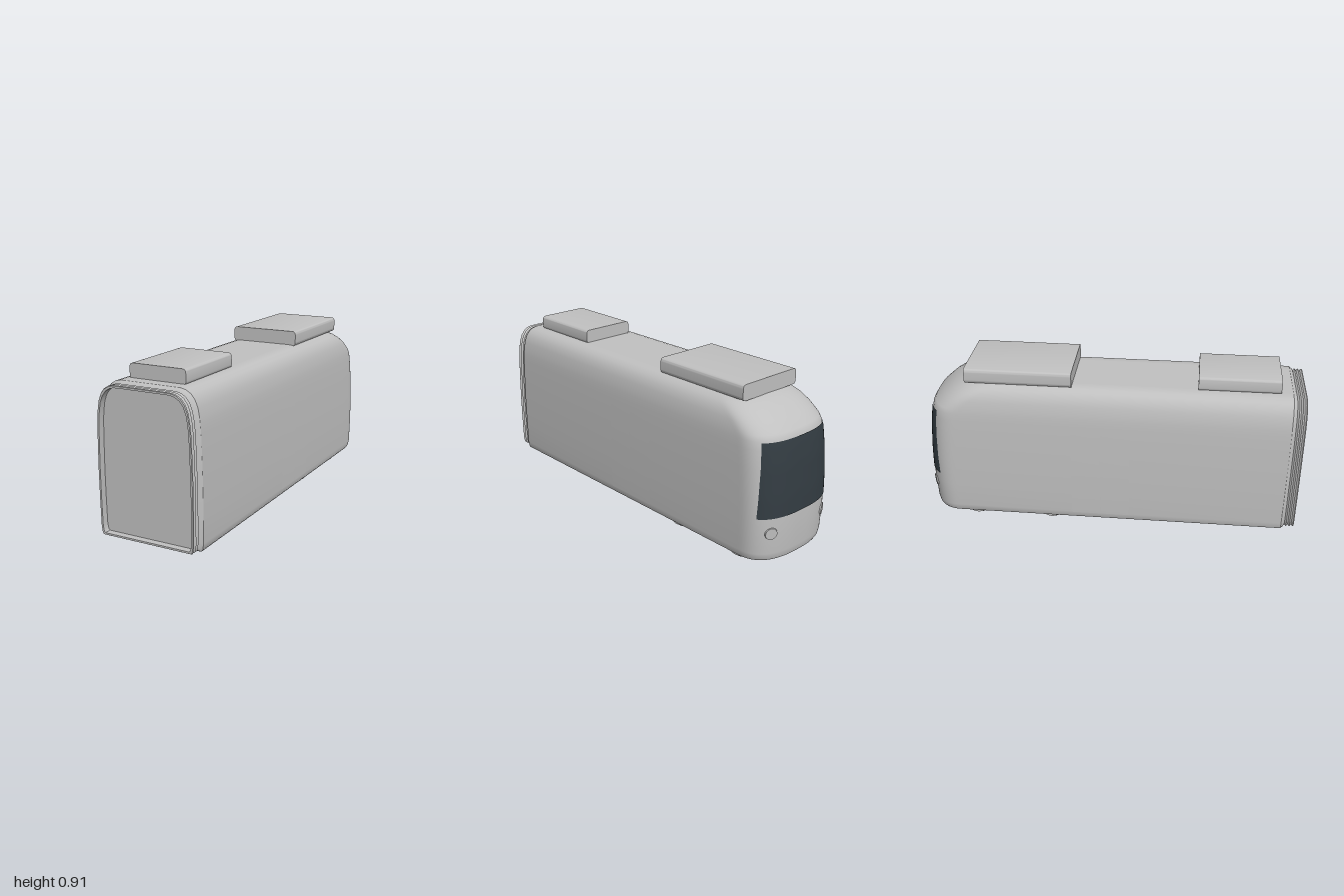
import * as THREE from 'three';
import { toCreasedNormals } from 'three/addons/utils/BufferGeometryUtils.js';

// Body profile: height, half width, z of the nose tip
const LEVELS = [
  [0.07, 0.255, -0.985], [0.08, 0.262, -0.99], [0.11, 0.267, -0.995], [0.25, 0.269, -1],
  [0.4, 0.269, -0.996], [0.55, 0.266, -0.985], [0.64, 0.263, -0.973], [0.68, 0.26, -0.965],
  [0.705, 0.257, -0.95], [0.75, 0.249, -0.9], [0.785, 0.235, -0.85], [0.81, 0.215, -0.805],
  [0.825, 0.19, -0.77], [0.831, 0.165, -0.745], [0.832, 0.14, -0.72],
];
const NOSE = 0.17, POWER = 0.77, BACK = 0.93;

function levelAt(y) {
  let i = 0;
  while (i < LEVELS.length - 2 && y > LEVELS[i + 1][0]) i++;
  const a = LEVELS[i], b = LEVELS[i + 1], k = (y - a[0]) / (b[0] - a[0]);
  return [a[1] + (b[1] - a[1]) * k, a[2] + (b[2] - a[2]) * k];
}

// Body surface: |t| below 1 runs round the nose, 1 to 2 runs back along the side
function surface(t, y) {
  const [hw, tip] = levelAt(y);
  const s = Math.sign(t), a = Math.min(Math.abs(t), 1) * Math.PI / 2;
  const x = s * hw * Math.pow(Math.sin(a), POWER);
  let z = tip + NOSE - NOSE * Math.pow(Math.max(0, Math.cos(a)), POWER);
  if (Math.abs(t) > 1) z += (BACK - z) * (Math.abs(t) - 1);
  return new THREE.Vector3(x, y, z);
}

function normalAt(t, y) {
  const e = 0.01;
  const along = surface(t - e, y).sub(surface(t + e, y));
  const up = surface(t, y + e).sub(surface(t, y - e));
  return along.cross(up).normalize();
}

// Grid of points from f(column, row), facing column direction x row direction
function grid(cols, rows, f) {
  const pos = [], index = [];
  for (let r = 0; r < rows; r++) for (let c = 0; c < cols; c++) pos.push(...f(c, r).toArray());
  for (let r = 0; r < rows - 1; r++) for (let c = 0; c < cols - 1; c++) {
    const a = r * cols + c, b = a + cols;
    index.push(a, a + 1, b, a + 1, b + 1, b);
  }
  const g = new THREE.BufferGeometry();
  g.setAttribute('position', new THREE.Float32BufferAttribute(pos, 3));
  g.setIndex(index);
  g.computeVertexNormals();
  return g;
}

export function createModel() {
  const root = new THREE.Group();
  const grey = new THREE.MeshStandardMaterial({ name: 'bodyGrey', color: 0xc0c0c0 });
  const glass = new THREE.MeshStandardMaterial({ name: 'darkGlass', color: 0x333c42 });
  const add = (name, geometry, material = grey) => {
    const m = new THREE.Mesh(geometry, material);
    m.name = name;
    root.add(m);
    return m;
  };

  // Body shell with rounded cab
  const ts = [2, 1.5, 1.05];
  for (let i = 0; i <= 48; i++) ts.push(1 - i / 24);
  ts.push(-1.05, -1.5, -2);
  add('bodyShell', grid(ts.length, LEVELS.length, (c, r) => surface(ts[c], LEVELS[r][0])));

  // Flat roof and floor
  const cap = (y, side) => {
    const pts = ts.map(t => surface(t, y)).map(p => new THREE.Vector2(p.x, -side * p.z));
    const g = new THREE.ShapeGeometry(new THREE.Shape(pts));
    g.rotateX(-side * Math.PI / 2).translate(0, y, 0);
    return g;
  };
  add('roof', cap(0.832, 1));
  add('floor', cap(0.07, -1));

  // Cross-section of the rear end, shrunk by an inset
  const half = LEVELS.map(l => [l[1], l[0]]);
  const loop = [...half, ...half.map(p => [-p[0], p[1]]).reverse(), half[0]];
  const section = (p, inset, z) => new THREE.Vector3(
    p[0] * (1 - inset / 0.269), 0.451 + (p[1] - 0.451) * (1 - inset / 0.381), z);

  // Pleated gangway bellows with a recessed end panel
  const rings = [[BACK, 0], [0.945, 0.01]];
  for (let i = 0; i < 6; i++) rings.push([0.95 + i * 0.009, i % 2 ? 0.01 : 0.017]);
  rings.push([1, 0.013], [1, 0.022], [0.965, 0.022]);
  const bellows = grid(loop.length, rings.length, (c, r) => section(loop[c], rings[r][1], rings[r][0]));
  add('gangwayBellows', toCreasedNormals(bellows, 0.5));
  const panel = loop.slice(0, -1).map(p => section(p, 0.022, 0)).map(p => new THREE.Vector2(p.x, p.y));
  add('endPanel', new THREE.ShapeGeometry(new THREE.Shape(panel)).translate(0, 0, 0.965));

  // Wraparound windscreen
  add('windscreen', grid(41, 13, (c, r) => {
    const k = r / 12, y = 0.3 + 0.375 * k;
    const t = (1 - c / 20) * (0.7 - 0.1 * k);
    return surface(t, y).addScaledVector(normalAt(t, y), 0.004);
  }), glass);

  // Roof equipment boxes with rounded edges
  const roofBox = (name, hw, top, z0, z1) => {
    const y0 = 0.826, r = 0.02, s = new THREE.Shape();
    s.moveTo(-hw + r, y0);
    s.lineTo(hw - r, y0);
    s.quadraticCurveTo(hw, y0, hw, y0 + r);
    s.lineTo(hw, top - r);
    s.quadraticCurveTo(hw, top, hw - r, top);
    s.lineTo(-hw + r, top);
    s.quadraticCurveTo(-hw, top, -hw, top - r);
    s.lineTo(-hw, y0 + r);
    s.quadraticCurveTo(-hw, y0, -hw + r, y0);
    const g = new THREE.ExtrudeGeometry(s, { depth: z1 - z0, bevelEnabled: false, curveSegments: 6 });
    add(name, toCreasedNormals(g.translate(0, 0, z0), 0.6));
  };
  roofBox('frontRoofUnit', 0.19, 0.907, -0.76, -0.2);
  roofBox('rearRoofUnit', 0.152, 0.902, 0.45, 0.87);

  // Flanged wheel turned about its axle, flange towards the inside
  const wheelProfile = [[0, -0.015], [0.066, -0.015], [0.072, -0.011], [0.072, -0.004],
    [0.062, 0.002], [0.059, 0.015], [0, 0.015]].map(p => new THREE.Vector2(...p));
  const wheelGeo = toCreasedNormals(new THREE.LatheGeometry(wheelProfile, 32), 0.5);

  for (const z of [-0.33, -0.75]) {
    add('axle', new THREE.CylinderGeometry(0.01, 0.01, 0.34, 12).rotateZ(Math.PI / 2)).position.set(0, 0.072, z);
    for (const s of [1, -1]) {
      const w = add(s > 0 ? 'leftWheel' : 'rightWheel', wheelGeo);
      w.rotation.z = -s * Math.PI / 2;
      w.position.set(s * 0.178, 0.072, z);
    }
  }

  for (const s of [1, -1]) {
    const side = s > 0 ? 'left' : 'right';
    // Double door leaves lying on the body side
    for (const [z0, z1] of [[-0.2, -0.046], [-0.044, 0.11]]) {
      add(side + 'DoorLeaf', grid(2, 12, (c, r) => {
        const y = 0.105 + 0.505 * r / 11;
        const z = (c === 0) === (s > 0) ? z1 : z0;
        return new THREE.Vector3(s * (levelAt(y)[0] + 0.0015), y, z);
      }));
    }
    // Round headlamp set in the nose
    const t = s * 0.44, n = normalAt(t, 0.22);
    const lamp = add(side + 'Headlamp', new THREE.CylinderGeometry(0.03, 0.035, 0.02, 28));
    lamp.position.copy(surface(t, 0.22)).addScaledVector(n, -0.005);
    lamp.quaternion.setFromUnitVectors(new THREE.Vector3(0, 1, 0), n);
  }

  return root;
}
